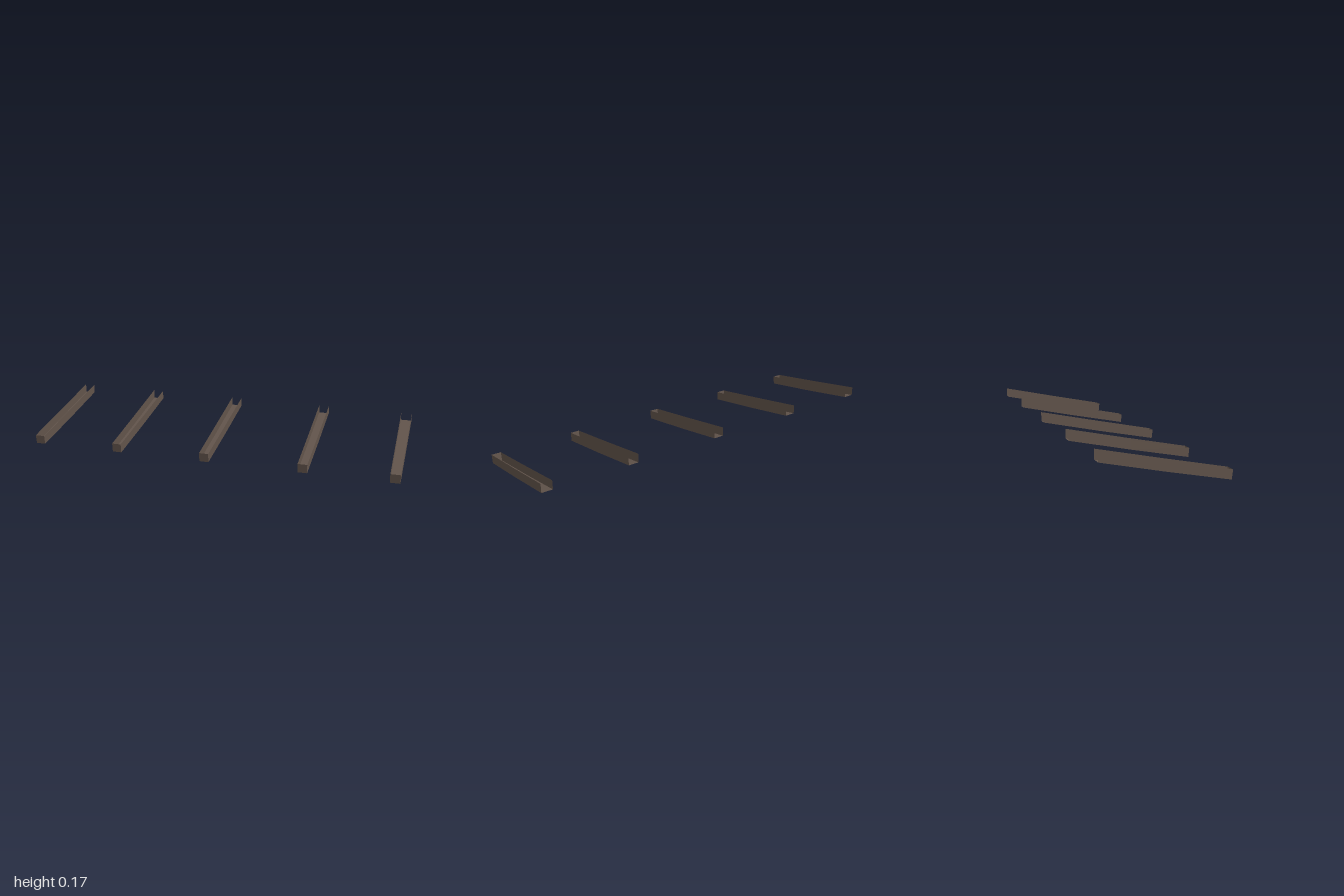
import * as THREE from 'three';

// Stations along a channel, front to back: floor z, floor y, rim z, rim y
const STATIONS = [
  [0.312, 0.0, 0.317, 0.047],
  [0, 0.06, 0, 0.109],
  [-0.316, 0.125, -0.316, 0.173],
];

// Left and right x of each channel at its front and at its back
const CHANNELS = [
  [-0.998, -0.946, -1.0, -0.944],
  [-0.533, -0.483, -0.539, -0.481],
  [-0.037, 0.013, -0.039, 0.017],
  [0.486, 0.536, 0.482, 0.537],
  [0.945, 0.996, 0.942, 1.0],
];

// Flat sheet from quads, each given by four corners
function sheet(name, quads, material) {
  const points = [];
  for (const [a, b, c, d] of quads) points.push(...a, ...b, ...c, ...a, ...c, ...d);
  const geometry = new THREE.BufferGeometry();
  geometry.setAttribute('position', new THREE.Float32BufferAttribute(points, 3));
  geometry.computeVertexNormals();
  const mesh = new THREE.Mesh(geometry, material);
  mesh.name = name;
  return mesh;
}

// Sloping trough: floor, two side walls, closed at the front, open at the back
function channel([frontL, frontR, backL, backR], material) {
  const group = new THREE.Group();
  group.name = 'channel';
  const rings = STATIONS.map(([fz, fy, rz, ry], i) => {
    const t = i / (STATIONS.length - 1);
    const l = THREE.MathUtils.lerp(frontL, backL, t);
    const r = THREE.MathUtils.lerp(frontR, backR, t);
    return [[l, ry, rz], [l, fy, fz], [r, fy, fz], [r, ry, rz]];
  });
  ['rightWall', 'floor', 'leftWall'].forEach((name, k) => {
    const quads = [];
    for (let i = 0; i < rings.length - 1; i++) {
      const a = rings[i], b = rings[i + 1];
      quads.push([a[k], b[k], b[k + 1], a[k + 1]]);
    }
    group.add(sheet(name, quads, material));
  });
  group.add(sheet('frontCap', [rings[0]], material));
  return group;
}

export function createModel() {
  const model = new THREE.Group();
  model.name = 'channelRow';
  const darkWood = new THREE.MeshStandardMaterial({ color: 0x62544b });
  darkWood.name = 'darkWood';
  darkWood.side = THREE.DoubleSide;
  for (const spec of CHANNELS) model.add(channel(spec, darkWood));
  return model;
}
